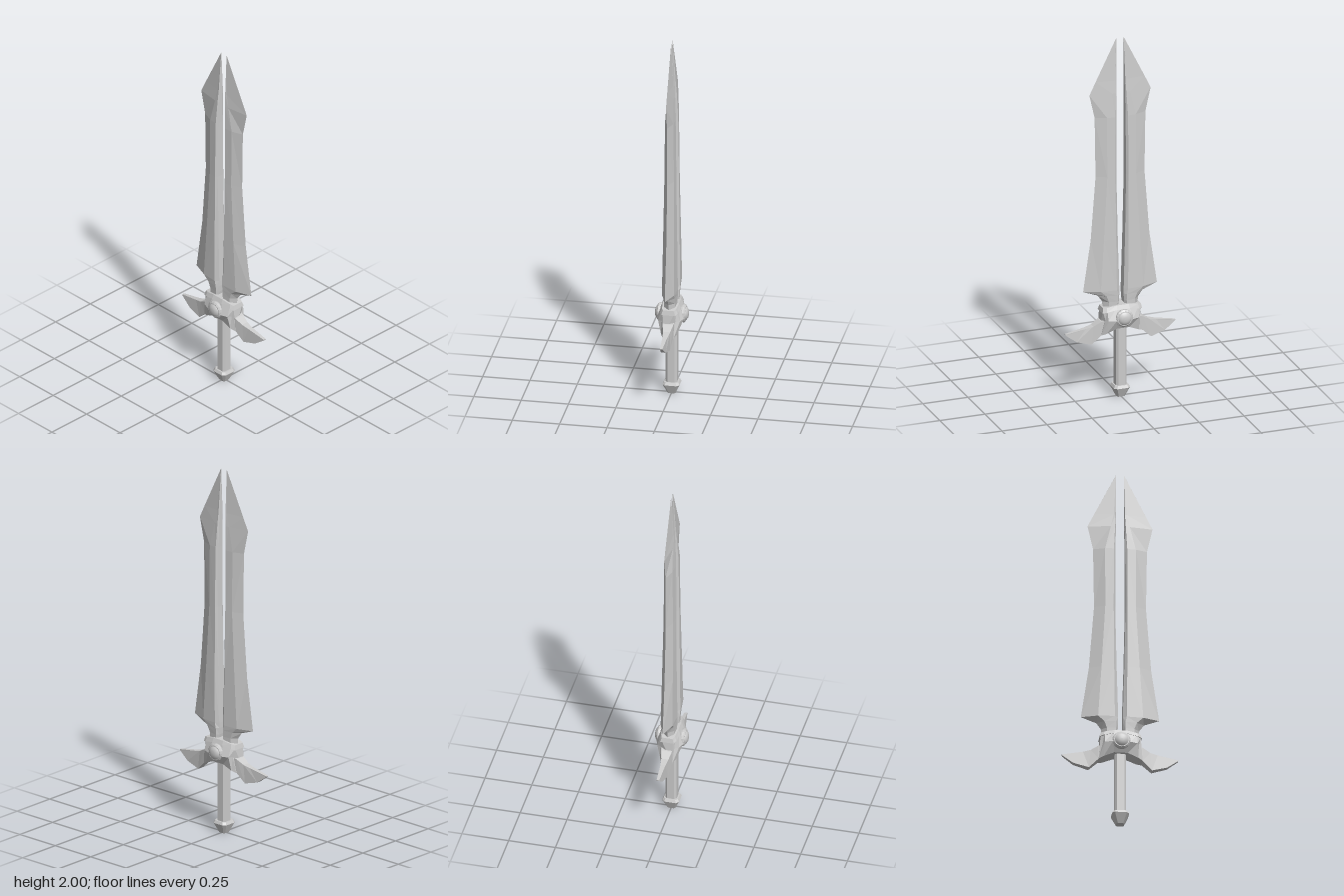
import * as THREE from 'three';

const flat = new THREE.MeshStandardMaterial({ color: 0xcccccc, flatShading: true });
const smooth = new THREE.MeshStandardMaterial({ color: 0xcccccc });

// Closed solid through equal-length rings of [x, y, z], capped at both ends
function loft(rings) {
  const tris = [];
  const n = rings[0].length;
  for (let i = 0; i < rings.length - 1; i++) {
    for (let j = 0; j < n; j++) {
      const k = (j + 1) % n;
      const [a, b, c, d] = [rings[i][j], rings[i][k], rings[i + 1][k], rings[i + 1][j]];
      tris.push([a, b, c], [a, c, d]);
    }
  }
  const last = rings[rings.length - 1];
  for (let j = 1; j < n - 1; j++) {
    tris.push([rings[0][0], rings[0][j + 1], rings[0][j]], [last[0], last[j], last[j + 1]]);
  }
  // Turn every face outward by the sign of the enclosed volume
  let volume = 0;
  const [p, q, r] = [new THREE.Vector3(), new THREE.Vector3(), new THREE.Vector3()];
  for (const [a, b, c] of tris) volume += p.fromArray(a).dot(q.fromArray(b).cross(r.fromArray(c)));
  if (volume < 0) tris.forEach((t) => t.reverse());
  const geometry = new THREE.BufferGeometry();
  geometry.setAttribute('position', new THREE.Float32BufferAttribute(tris.flat(2), 3));
  geometry.computeVertexNormals();
  return geometry;
}

// Square with cut corners, lying level at height y
function chamferedSquare(y, h, cut) {
  const i = h - cut;
  return [[h, i], [i, h], [-i, h], [-h, i], [-h, -i], [-i, -h], [i, -h], [h, -i]].map(([x, z]) => [x, y, z]);
}

function addMesh(group, name, geometry, material = flat) {
  const mesh = new THREE.Mesh(geometry, material);
  mesh.name = name;
  group.add(mesh);
  return mesh;
}

// One half of the split blade: y, cutting edge x, ridge x, gap x, half thickness
function bladeGeometry(side) {
  const stations = [
    [0.48, 0.095, 0.07, 0.022, 0.032],
    [0.54, 0.1, 0.072, 0.014, 0.034],
    [0.575, 0.125, 0.085, 0.012, 0.036],
    [0.605, 0.205, 0.118, 0.012, 0.037],
    [0.89, 0.163, 0.1, 0.02, 0.034],
    [1.24, 0.136, 0.08, 0.027, 0.03],
    [1.57, 0.141, 0.08, 0.025, 0.026],
    [1.7, 0.17, 0.05, 0.023, 0.02],
    [1.77, 0.136, 0.034, 0.022, 0.015],
    [2.0, 0.022, 0.021, 0.02, 0.001],
  ];
  return loft(stations.map(([y, edge, ridge, gap, t]) => {
    const rib = gap + (ridge - gap) * 0.18;
    return [
      [edge, 0], [ridge, t * 0.85], [rib, t], [gap, t * 0.6],
      [gap, -t * 0.6], [rib, -t], [ridge, -t * 0.85],
    ].map(([x, z]) => [side * x, y, z]);
  }));
}

// Curved guard wing: top point, bottom point, half thickness
function wingGeometry(side) {
  const stations = [
    [0.08, 0.445, 0.08, 0.375, 0.032],
    [0.115, 0.435, 0.115, 0.36, 0.028],
    [0.155, 0.412, 0.165, 0.312, 0.019],
    [0.195, 0.402, 0.245, 0.335, 0.013],
    [0.305, 0.383, 0.303, 0.377, 0.007],
  ];
  return loft(stations.map(([xt, yt, xb, yb, z]) => [
    [side * xt, yt, z], [side * xt, yt, -z], [side * xb, yb, -z], [side * xb, yb, z],
  ]));
}

// Faceted guard block with pinched sides
function guardGeometry() {
  const half = [
    // bottom x, mid x, top x, bottom y, top y, bottom z, mid z, top z
    [0.035, 0.045, 0.035, 0.393, 0.513, 0.045, 0.072, 0.045],
    [0.09, 0.085, 0.085, 0.37, 0.5, 0.042, 0.058, 0.04],
    [0.115, 0.095, 0.105, 0.36, 0.49, 0.03, 0.036, 0.03],
  ];
  const ring = (s, [xb, xm, xt, yb, yt, zb, zm, zt]) => [
    [s * xb, yb, zb], [s * xm, 0.445, zm], [s * xt, yt, zt],
    [s * xt, yt, -zt], [s * xm, 0.445, -zm], [s * xb, yb, -zb],
  ];
  return loft([...[...half].reverse().map((h) => ring(-1, h)), ...half.map((h) => ring(1, h))]);
}

// Lip along the top of the guard
function lipGeometry() {
  const stations = [
    [-0.11, 0.485, 0.51, 0.036], [-0.09, 0.49, 0.513, 0.046], [-0.035, 0.5, 0.522, 0.053],
    [0.035, 0.5, 0.522, 0.053], [0.09, 0.49, 0.513, 0.046], [0.11, 0.485, 0.51, 0.036],
  ];
  return loft(stations.map(([x, lo, hi, z]) => [
    [x, lo, z], [x * 0.95, hi, z * 0.8], [x * 0.95, hi, -z * 0.8], [x, lo, -z],
  ]));
}

export function createModel() {
  const model = new THREE.Group();
  model.name = 'sword';

  for (const [side, label] of [[1, 'left'], [-1, 'right']]) {
    addMesh(model, `${label}Blade`, bladeGeometry(side));
    addMesh(model, `${label}GuardWing`, wingGeometry(side));
  }

  addMesh(model, 'guard', guardGeometry());
  addMesh(model, 'guardLip', lipGeometry());

  // Round settings and domed gems on both faces of the guard
  const settingProfile = [[0, 0.045], [0.044, 0.045], [0.048, 0.06], [0.048, 0.068], [0.04, 0.075], [0, 0.075]]
    .map(([r, h]) => new THREE.Vector2(r, h));
  const gemProfile = [[0.037, 0.073], [0.033, 0.079], [0.022, 0.086], [0.01, 0.088], [0, 0.0885]]
    .map(([r, h]) => new THREE.Vector2(r, h));
  for (const [side, label] of [[1, 'front'], [-1, 'back']]) {
    const setting = addMesh(model, `${label}GemSetting`, new THREE.LatheGeometry(settingProfile, 16));
    const gem = addMesh(model, `${label}Gem`, new THREE.LatheGeometry(gemProfile, 16), smooth);
    for (const part of [setting, gem]) {
      part.position.y = 0.455;
      part.rotation.x = side * Math.PI / 2;
    }
  }

  // Grip and pommel
  addMesh(model, 'grip', loft([chamferedSquare(0.05, 0.03, 0.011), chamferedSquare(0.41, 0.03, 0.011)]));
  addMesh(model, 'pommel', loft([
    chamferedSquare(0, 0.021, 0.007),
    chamferedSquare(0.053, 0.045, 0.014),
    chamferedSquare(0.067, 0.038, 0.012),
  ]));

  return model;
}
